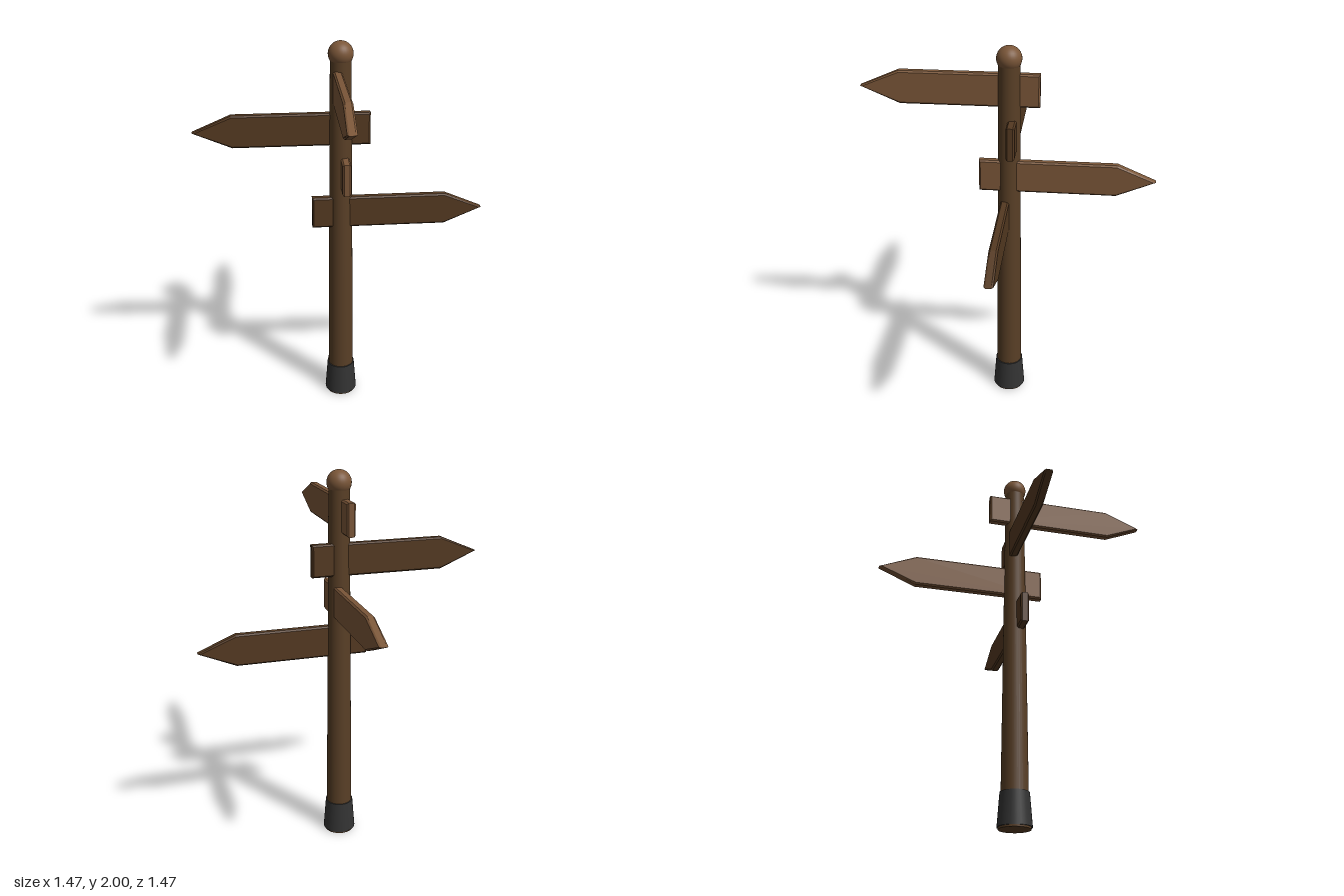
import * as THREE from 'three';

export function createModel() {
  const mat = (name, color) => {
    const m = new THREE.MeshStandardMaterial({ color });
    m.name = name;
    return m;
  };
  const postWood = mat('post wood', 0x593f26);
  const lightWood = mat('light wood', 0x7a5638);
  const darkWood = mat('dark wood', 0x543921);
  const iron = mat('dark iron', 0x333333);

  const model = new THREE.Group();
  model.name = 'signpost';
  const add = (name, geometry, material, y = 0) => {
    const mesh = new THREE.Mesh(geometry, material);
    mesh.name = name;
    mesh.position.y = y;
    model.add(mesh);
    return mesh;
  };

  // Tapered post with a foot that shows just below the collar
  add('foot', new THREE.CylinderGeometry(0.081, 0.081, 0.02, 32), postWood, 0.01);
  add('post', new THREE.CylinderGeometry(0.052, 0.07, 1.91, 32), postWood, 0.965);
  add('collar', new THREE.CylinderGeometry(0.074, 0.087, 0.17, 32), iron, 0.095);
  add('finial', new THREE.SphereGeometry(0.062, 32, 20), lightWood, 1.938);

  // Pointed board with a small chamfer, running along +x from its short tail
  const outline = new THREE.Shape([
    [-0.15, -0.083], [0.54, -0.083], [0.735, 0], [0.54, 0.083], [-0.15, 0.083],
  ].map(([x, y]) => new THREE.Vector2(x, y)));
  const bevel = 0.008;
  const board = new THREE.ExtrudeGeometry(outline, {
    depth: 0.044 - 2 * bevel,
    bevelEnabled: true,
    bevelThickness: bevel,
    bevelSize: bevel,
    bevelOffset: -bevel,
    bevelSegments: 1,
  });
  // Centre the thickness, then shift it slightly off the post's axis
  board.translate(0, 0, -0.022 + bevel + 0.018);

  // Four boards, each a quarter turn further round and one step higher
  for (let i = 0; i < 4; i++) {
    const sign = add('signBoard' + (i + 1), board, i % 2 ? lightWood : darkWood, 1.122 + i * 0.2185);
    sign.rotation.y = THREE.MathUtils.degToRad(5 + 90 * i);
  }
  return model;
}
